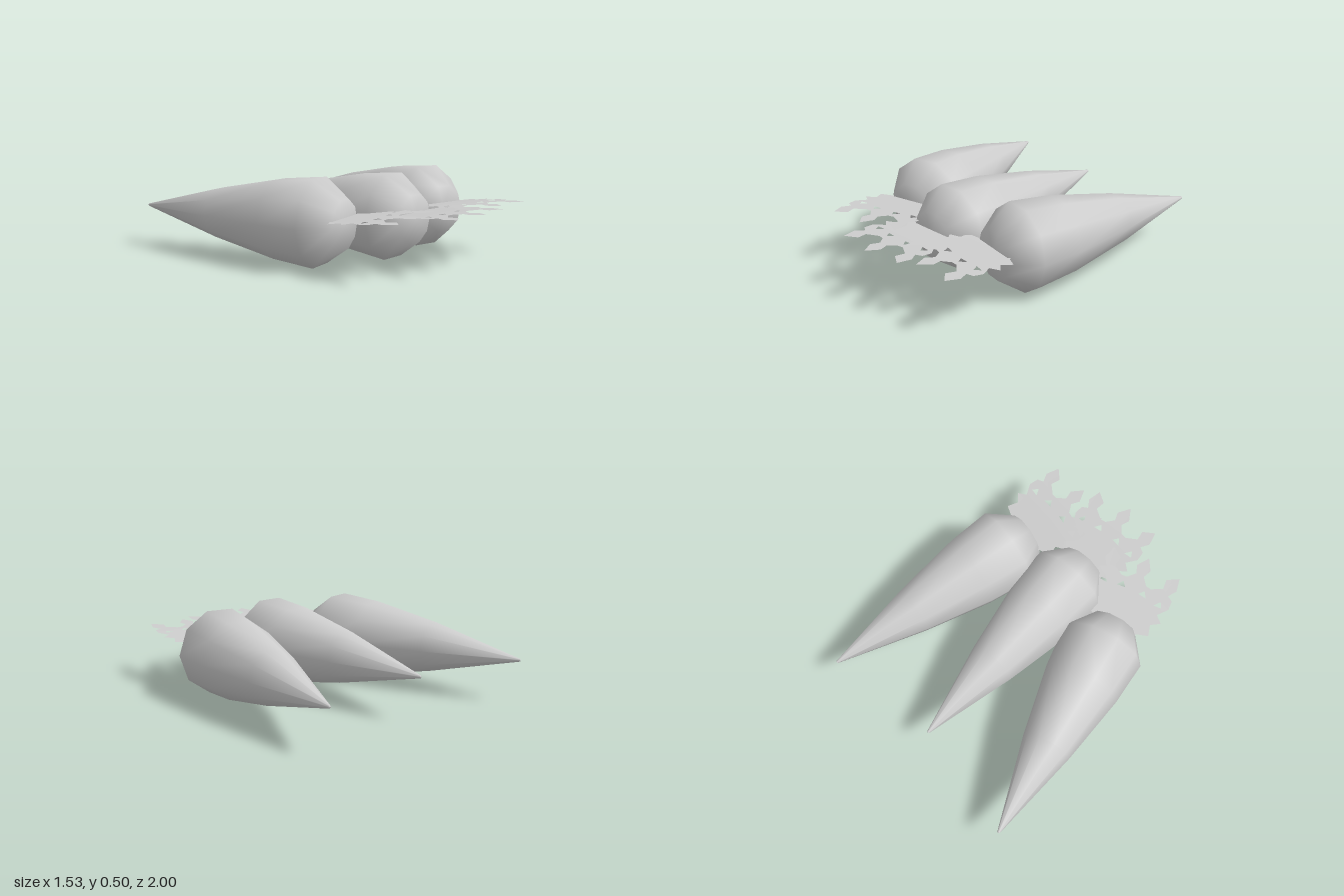
import * as THREE from 'three';

export function createModel() {
  const grey = new THREE.MeshStandardMaterial({ color: 0xcccccc, side: THREE.DoubleSide });
  grey.name = 'light grey';
  const V = (x, y) => new THREE.Vector2(x, y);

  // Ten-sided claw: sharp tip at the back, blunt cap at the front (local z = 0)
  const clawGeo = new THREE.LatheGeometry([
    V(0, -1.425), V(0.008, -1.423), V(0.152, -0.86), V(0.236, -0.43),
    V(0.262, -0.16), V(0.147, 0), V(0, 0.001),
  ], 10, Math.PI / 2);
  clawGeo.rotateX(Math.PI / 2);

  // Jagged crystal plate: one half of the outline, mirrored for the other
  const half = [
    [0.14, -0.04], [0.15, -0.005], [0.22, 0.018], [0.198, 0.085], [0.252, 0.122], [0.206, 0.16],
    [0.253, 0.222], [0.248, 0.28], [0.212, 0.3], [0.245, 0.35], [0.226, 0.434],
    [0.157, 0.39], [0.166, 0.33], [0.1, 0.29], [0.065, 0.295], [0.026, 0.342],
    [0.046, 0.395],
  ];
  const outline = [
    ...half.map(([x, y]) => V(x, y)), V(0, 0.468),
    ...half.slice().reverse().map(([x, y]) => V(-x, y)),
  ];
  const plate = new THREE.Shape(outline);
  for (const s of [1, -1]) {
    plate.holes.push(new THREE.Path([V(s * 0.045, 0.228), V(s * 0.1, 0.222), V(s * 0.072, 0.262)]));
    plate.holes.push(new THREE.Path([V(s * 0.16, 0.205), V(s * 0.212, 0.208), V(s * 0.19, 0.245)]));
  }
  const plateGeo = new THREE.ShapeGeometry(plate);
  plateGeo.rotateX(Math.PI / 2);
  // Rise gently towards the front
  const p = plateGeo.attributes.position;
  for (let i = 0; i < p.count; i++) {
    const z = p.getZ(i);
    p.setY(i, 0.04 + 0.13 * z - 0.1 * z * z);
  }
  // Reverse the faces so the plate's front side looks up
  const idx = plateGeo.index;
  for (let i = 0; i < idx.count; i += 3) {
    const a = idx.getX(i);
    idx.setX(i, idx.getX(i + 2));
    idx.setX(i + 2, a);
  }
  plateGeo.computeVertexNormals();

  const model = new THREE.Group();
  model.name = 'clawSet';
  // name, cap x, cap z, turn in degrees
  const toes = [
    ['rightToe', -0.34, 0.382, 17.1],
    ['middleToe', 0.075, 0.532, 5.25],
    ['leftToe', 0.475, 0.415, -7],
  ];
  for (const [name, x, z, deg] of toes) {
    const toe = new THREE.Group();
    toe.name = name;
    const claw = new THREE.Mesh(clawGeo, grey);
    claw.name = 'claw';
    const crystal = new THREE.Mesh(plateGeo, grey);
    crystal.name = 'crystalPlate';
    toe.add(claw, crystal);
    toe.position.set(x, 0.25, z);
    toe.rotation.y = THREE.MathUtils.degToRad(deg);
    model.add(toe);
  }
  return model;
}
